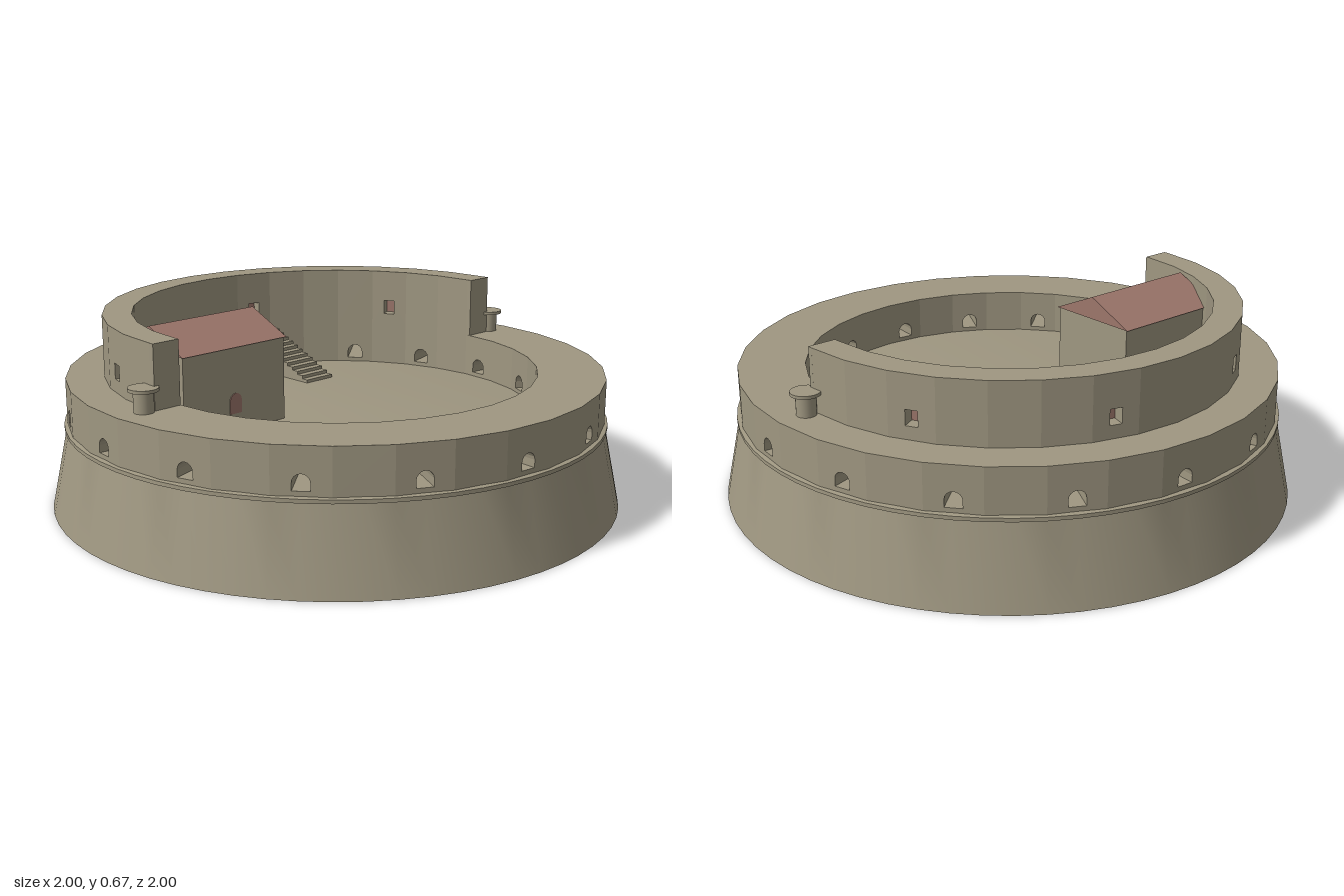
import * as THREE from 'three';
import { mergeGeometries, toCreasedNormals } from 'three/addons/utils/BufferGeometryUtils.js';

const SIDES = 32;
const STEP = (Math.PI * 2) / SIDES;
const FLOOR = 0.3;
const TERRACE = 0.455;
const TOP = 0.67;

function mat(name, color) {
  const m = new THREE.MeshStandardMaterial({ color });
  m.name = name;
  return m;
}

// Counter-clockwise outline of an opening, with an optional round head
function opening(halfWidth, y0, y1, arched) {
  const pts = [new THREE.Vector2(-halfWidth, y0), new THREE.Vector2(halfWidth, y0)];
  if (!arched) {
    pts.push(new THREE.Vector2(halfWidth, y1), new THREE.Vector2(-halfWidth, y1));
    return pts;
  }
  for (let k = 0; k <= 8; k++) {
    const a = (Math.PI * k) / 8;
    pts.push(new THREE.Vector2(halfWidth * Math.cos(a), y1 - halfWidth + halfWidth * Math.sin(a)));
  }
  return pts;
}

function plain(geometry) {
  const g = geometry.index ? geometry.toNonIndexed() : geometry;
  g.deleteAttribute('uv');
  return g;
}

// One straight facet of a ring wall, with an optional opening cut right through
function facet(index, rOut, rIn, y0, y1, hole) {
  const c = Math.cos(STEP / 2), s = Math.sin(STEP / 2);
  const zo = rOut * c, zi = rIn * c, wo = rOut * s, wi = rIn * s;
  const face = (w) => {
    const shape = new THREE.Shape([[-w, y0], [w, y0], [w, y1], [-w, y1]].map((p) => new THREE.Vector2(...p)));
    if (hole) shape.holes.push(new THREE.Path(hole));
    return new THREE.ShapeGeometry(shape);
  };
  const cap = new THREE.ShapeGeometry(new THREE.Shape(
    [[-wo, -zo], [wo, -zo], [wi, -zi], [-wi, -zi]].map((p) => new THREE.Vector2(...p))));
  const parts = [
    plain(face(wo).translate(0, 0, zo)),
    plain(face(wi).rotateY(Math.PI).translate(0, 0, zi)),
    plain(cap.rotateX(-Math.PI / 2).translate(0, y1, 0)),
  ];
  if (hole) {
    const pos = [];
    hole.forEach((p, k) => {
      const q = hole[(k + 1) % hole.length];
      pos.push(p.x, p.y, zo, q.x, q.y, zo, q.x, q.y, zi);
      pos.push(p.x, p.y, zo, q.x, q.y, zi, p.x, p.y, zi);
    });
    const tunnel = new THREE.BufferGeometry();
    tunnel.setAttribute('position', new THREE.Float32BufferAttribute(pos, 3));
    tunnel.computeVertexNormals();
    parts.push(tunnel);
  }
  return mergeGeometries(parts).rotateY((index + 0.5) * STEP);
}

export function createModel() {
  const model = new THREE.Group();
  model.name = 'roundFort';
  const stone = mat('stone', 0x9f9781);
  const clay = mat('clay', 0x9c766b);

  const add = (name, geometry, material, x = 0, y = 0, z = 0, parent = model) => {
    const mesh = new THREE.Mesh(geometry, material);
    mesh.name = name;
    mesh.position.set(x, y, z);
    parent.add(mesh);
    return mesh;
  };

  // Sloping base with a thin cordon and the courtyard floor
  const profile = [[0, 0], [1, 0], [0.94, 0.283], [0.948, 0.283], [0.948, 0.296], [0.93, FLOOR], [0, FLOOR]];
  const base = new THREE.LatheGeometry(profile.map((p) => new THREE.Vector2(...p)), 64);
  add('base', toCreasedNormals(base, 0.3), stone);

  // Lower ring wall with an arched gun port in every second facet
  const port = opening(0.028, 0.315, 0.368, true);
  const lower = [];
  for (let i = 0; i < SIDES; i++) {
    lower.push(facet(i, 0.937, 0.705, 0.295, TERRACE, i % 2 ? port : null));
  }
  add('lowerRingWall', mergeGeometries(lower), stone);

  // Upper half-ring wall at the back, with shuttered square windows
  const square = opening(0.021, 0.5, 0.553, false);
  const upper = [];
  for (let i = 8; i < 24; i++) {
    const hasWindow = i % 4 === 2;
    upper.push(facet(i, 0.805, 0.705, TERRACE, TOP, hasWindow ? square : null));
    if (hasWindow) {
      const a = (i + 0.5) * STEP;
      const pane = add('windowShutter', new THREE.BoxGeometry(0.042, 0.053, 0.008), clay,
        0.75 * Math.sin(a), 0.5265, 0.75 * Math.cos(a));
      pane.rotation.y = a;
    }
  }
  add('upperRingWall', mergeGeometries(upper), stone);

  // Wall ends and small capped posts on both sides
  for (const side of [-1, 1]) {
    add('wallEnd', new THREE.BoxGeometry(0.1, TOP - TERRACE, 0.018), stone,
      side * 0.755, (TOP + TERRACE) / 2, 0.008);
    const post = new THREE.Group();
    post.name = 'cappedPost';
    post.position.set(side * 0.835, TERRACE, 0);
    add('postShaft', new THREE.CylinderGeometry(0.033, 0.033, 0.07, 24), stone, 0, 0.035, 0, post);
    add('postCap', new THREE.CylinderGeometry(0.05, 0.05, 0.011, 24), stone, 0, 0.0745, 0, post);
    model.add(post);
  }

  // House with gabled roof and an arched front window
  const house = new THREE.Group();
  house.name = 'house';
  house.position.set(-0.433, 0, -0.201);
  const eaves = 0.59;
  add('houseWalls', new THREE.BoxGeometry(0.437, eaves - FLOOR, 0.33), stone, 0, (eaves + FLOOR) / 2, 0, house);
  const gable = new THREE.Shape([[-0.174, 0], [0.174, 0], [0, TOP - eaves - 0.001]].map((p) => new THREE.Vector2(...p)));
  const roof = new THREE.ExtrudeGeometry(gable, { depth: 0.447, bevelEnabled: false });
  add('roof', roof.translate(0, 0, -0.2235).rotateY(Math.PI / 2), clay, 0, eaves, 0, house);
  const windowShape = new THREE.Shape(opening(0.025, 0.362, 0.432, true));
  const plate = new THREE.ExtrudeGeometry(windowShape, { depth: 0.004, bevelEnabled: false });
  add('houseWindow', plate, clay, 0, 0, 0.164, house);
  model.add(house);

  // Solid stair climbing to the back wall
  const steps = 13, front = -0.325, run = 0.355 / steps;
  const stair = new THREE.Group();
  stair.name = 'stair';
  for (let k = 0; k < steps; k++) {
    const h = ((TERRACE - FLOOR) * (k + 1)) / steps;
    add('step', new THREE.BoxGeometry(0.13, h, run), stone, 0.23, FLOOR + h / 2, front - run * (k + 0.5), stair);
  }
  model.add(stair);

  return model;
}
